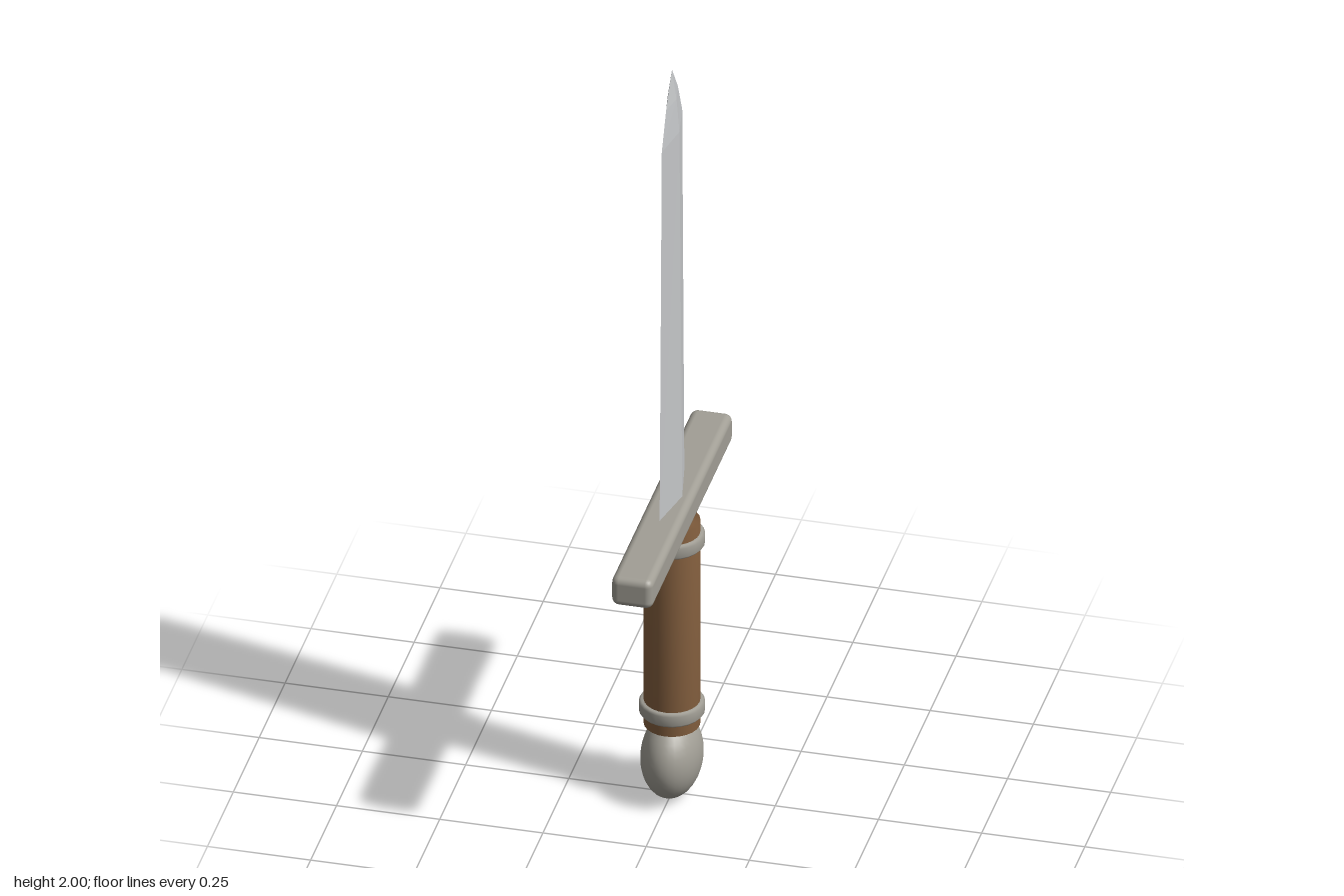
import * as THREE from 'three';
import { mergeVertices } from 'three/addons/utils/BufferGeometryUtils.js';
import { RoundedBoxGeometry } from 'three/addons/geometries/RoundedBoxGeometry.js';

const mat = (name, color, flatShading = false) => {
  const m = new THREE.MeshStandardMaterial({ color, flatShading });
  m.name = name;
  return m;
};

// Diamond cross-sections [y, half thickness x, half width z], closed at the tip
function bladeGeometry(sections, tipY) {
  const pos = [];
  const idx = [];
  for (const [y, x, z] of sections) pos.push(x, y, 0, 0, y, -z, -x, y, 0, 0, y, z);
  const tip = sections.length * 4;
  pos.push(0, tipY, 0);
  for (let s = 0; s < sections.length; s++) {
    for (let i = 0; i < 4; i++) {
      const a = s * 4 + i;
      const b = s * 4 + (i + 1) % 4;
      if (s === sections.length - 1) idx.push(a, b, tip);
      else idx.push(a, b, b + 4, a, b + 4, a + 4);
    }
  }
  idx.push(0, 2, 1, 0, 3, 2);
  const g = new THREE.BufferGeometry();
  g.setAttribute('position', new THREE.Float32BufferAttribute(pos, 3));
  g.setIndex(idx);
  const flat = g.toNonIndexed();
  flat.computeVertexNormals();
  return flat;
}

// Shares vertices so that normals blend softly over the end edges
function softened(geometry) {
  geometry.deleteAttribute('uv');
  geometry.deleteAttribute('normal');
  const g = mergeVertices(geometry);
  g.computeVertexNormals();
  return g;
}

export function createModel() {
  const model = new THREE.Group();
  model.name = 'dagger';
  const steel = mat('blade steel', 0xc4c6c8, true);
  const metal = mat('fitting metal', 0xa19e95);
  const leather = mat('grip brown', 0x85603f);

  const add = (name, geometry, material, y = 0) => {
    const mesh = new THREE.Mesh(geometry, material);
    mesh.name = name;
    mesh.position.y = y;
    model.add(mesh);
    return mesh;
  };

  // Blade, edges facing front and back
  add('blade', bladeGeometry([
    [0.8, 0.025, 0.12],
    [1.83, 0.018, 0.099],
    [1.92, 0.011, 0.057],
  ], 2), steel);

  // Crossguard
  add('crossguard', new RoundedBoxGeometry(0.1, 0.078, 0.788, 3, 0.018), metal, 0.784);

  // Grip
  add('grip', softened(new THREE.CylinderGeometry(0.067, 0.067, 0.56, 24, 1)), leather, 0.475);

  // Rounded collars at both ends of the grip
  const band = [[0.06, -0.018], [0.073, -0.018], [0.078, -0.012], [0.078, 0.012], [0.073, 0.018], [0.06, 0.018]]
    .map(([r, y]) => new THREE.Vector2(r, y));
  for (const [name, y] of [['upperCollar', 0.707], ['lowerCollar', 0.243]]) {
    add(name, new THREE.LatheGeometry(band, 24), metal, y);
  }

  // Pommel, flattened sideways
  const pommel = add('pommel', new THREE.SphereGeometry(0.105, 28, 18), metal, 0.108);
  pommel.scale.set(0.69, 1.02, 1);

  return model;
}
